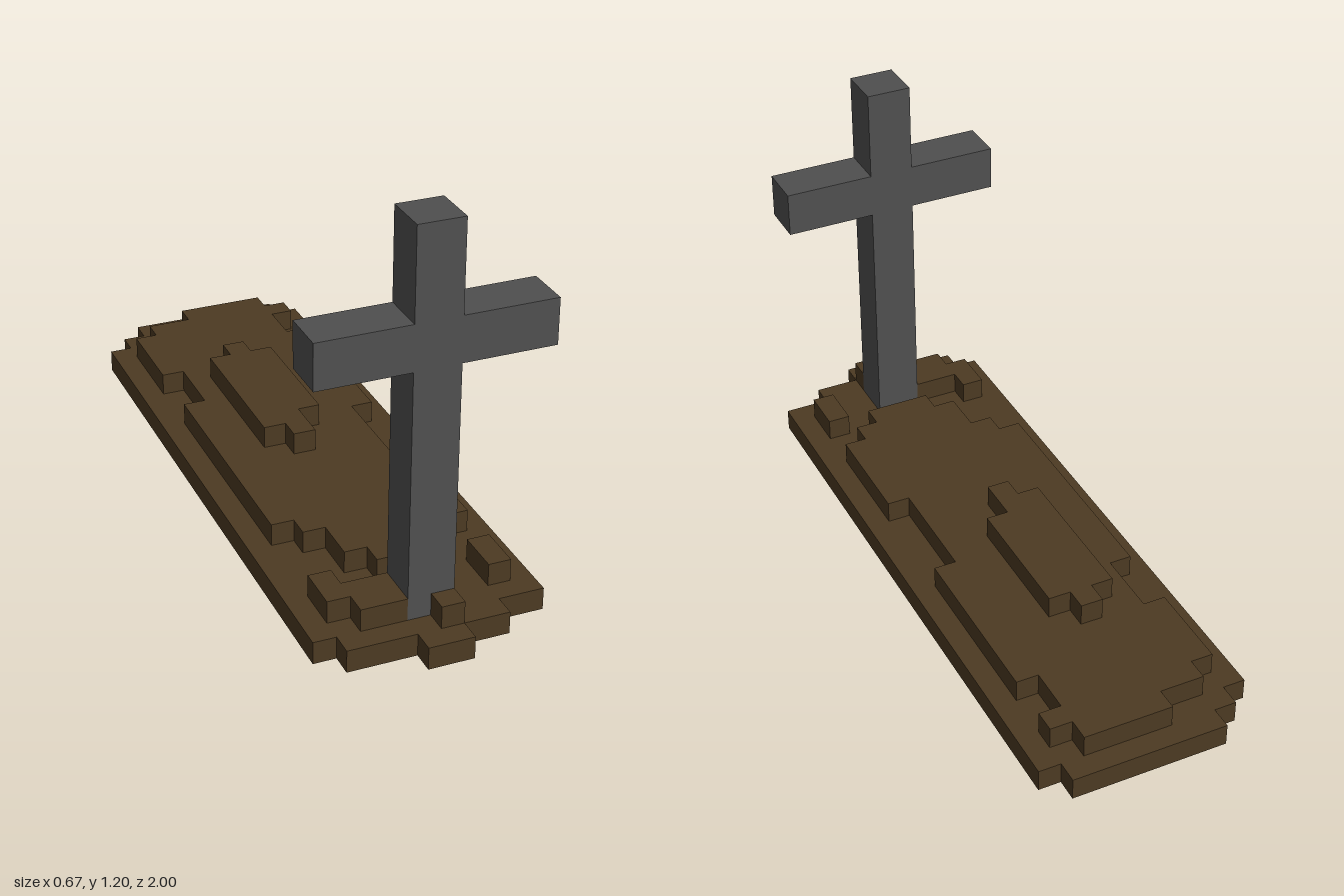
import * as THREE from 'three';

const U = 1 / 15; // one block

export function createModel() {
  const soil = new THREE.MeshStandardMaterial({ color: 0x4c3a22 });
  soil.name = 'soilBrown';
  const stone = new THREE.MeshStandardMaterial({ color: 0x4f4f4f });
  stone.name = 'stoneGrey';

  const root = new THREE.Group();
  root.name = 'graveWithCross';

  const add = (name, geometry, material) => {
    const mesh = new THREE.Mesh(geometry, material);
    mesh.name = name;
    root.add(mesh);
    return mesh;
  };

  // Stepped slab from rows [zStart, xLeft, xRight], back to front, in blocks
  const layer = (name, rows, zEnd, y, hole) => {
    const left = [], right = [];
    rows.forEach(([z, x0, x1], i) => {
      const z1 = i + 1 < rows.length ? rows[i + 1][0] : zEnd;
      left.push([x0, z], [x0, z1]);
      right.push([x1, z], [x1, z1]);
    });
    const outline = [...left, ...right.reverse()]
      .map(([x, z]) => new THREE.Vector2(x * U, -z * U))
      .filter((p, i, all) => i === 0 || !p.equals(all[i - 1]));
    const shape = new THREE.Shape(outline);
    if (hole) shape.holes.push(hole);
    const geometry = new THREE.ExtrudeGeometry(shape, { depth: U, bevelEnabled: false, curveSegments: 8 });
    geometry.rotateX(-Math.PI / 2);
    geometry.translate(0, y * U, 0);
    return add(name, geometry, soil);
  };

  // Ground slab with a round socket for the cross
  const socket = new THREE.Path().absarc(0, -12 * U, U, 0, Math.PI * 2, true);
  layer('groundSlab', [[-15, -3, 4], [-14, -4, 5], [-13, -5, 5], [13, -4, 3], [14, -1, 1]], 15, 0, socket);

  // Main mound
  layer('mound', [
    [-14, -1, 3], [-13, -3, 4], [-12, -4, 3], [-10, -4, 4], [-8, -3, 4], [-5, -4, 4],
    [-2, -4, 3], [3, -4, 4], [6, -3, 4], [7, -2, 4], [8, -2, 3], [9, -1, 2],
  ], 10, 1);

  // Ridge on top of the mound
  layer('moundRidge', [[-8, -1, 0], [-7, -2, 1], [-1, -2, 0], [0, -1, 0]], 1, 2);

  // Loose clods round the foot of the cross
  layer('rightClod', [[10, -4, -3], [11, -4, -1], [12, -3, -1]], 13, 1);
  layer('leftClod', [[10, 3, 4]], 12, 1);
  layer('frontClod', [[13, 0, 1]], 14, 1);

  // Cross in one piece
  const half = [[1, 1], [1, 12], [5, 12], [5, 14], [1, 14], [1, 18]];
  const outline = [...half, ...half.map(([x, y]) => [-x, y]).reverse()];
  const crossShape = new THREE.Shape(outline.map(([x, y]) => new THREE.Vector2(x * U, y * U)));
  const cross = new THREE.ExtrudeGeometry(crossShape, { depth: 2 * U, bevelEnabled: false });
  cross.translate(0, 0, 11 * U);
  add('cross', cross, stone);

  // Peg filling the socket
  const peg = new THREE.CylinderGeometry(U, U, U, 16);
  peg.translate(0, U / 2, 12 * U);
  add('crossPeg', peg, stone);

  return root;
}
